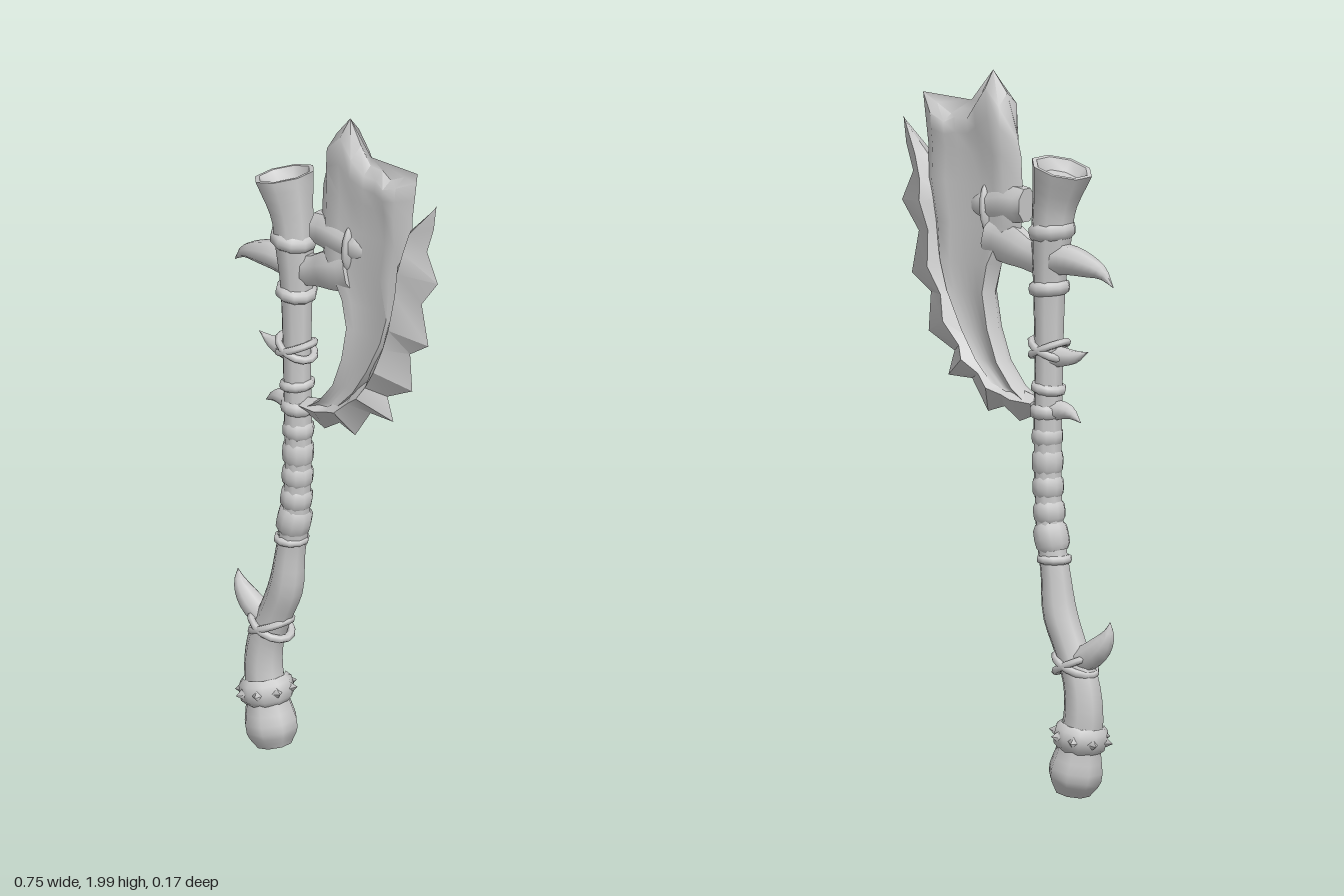
import * as THREE from 'three';
import { mergeVertices, toCreasedNormals } from 'three/addons/utils/BufferGeometryUtils.js';

const material = new THREE.MeshStandardMaterial({ color: 0xcccccc });
const V = (x, y, z = 0) => new THREE.Vector3(x, y, z);

// Skin a series of closed rings and cap both ends
function loft(rings, crease = 0.9) {
  const n = rings[0].length, pos = [], index = [];
  rings.forEach(r => r.forEach(p => pos.push(p.x, p.y, p.z)));
  for (let i = 0; i < rings.length - 1; i++) {
    for (let j = 0; j < n; j++) {
      const k = (j + 1) % n, a = i * n + j, b = a + n, c = (i + 1) * n + k, d = i * n + k;
      index.push(a, b, c, a, c, d);
    }
  }
  [0, rings.length - 1].forEach((i, end) => {
    const mid = V(0, 0);
    rings[i].forEach(p => mid.addScaledVector(p, 1 / n));
    const m = pos.length / 3;
    pos.push(mid.x, mid.y, mid.z);
    for (let j = 0; j < n; j++) {
      const a = i * n + j, b = i * n + (j + 1) % n;
      if (end) index.push(m, b, a); else index.push(m, a, b);
    }
  });
  const geo = new THREE.BufferGeometry();
  geo.setAttribute('position', new THREE.Float32BufferAttribute(pos, 3));
  geo.setIndex(index);
  return toCreasedNormals(mergeVertices(geo, 1e-4), crease);
}

// Round tube along points [x, y, radius]; dish hollows out both ends
function tube(points, steps, { sides = 8, flat = 1, dish = 0 } = {}) {
  const pts = new THREE.CatmullRomCurve3(points.map(p => V(...p)), false, 'centripetal').getPoints(steps);
  const ringAt = (i, scale, push) => {
    const a = pts[Math.max(i - 1, 0)], b = pts[Math.min(i + 1, steps)];
    const t = V(b.x - a.x, b.y - a.y).normalize(), r = Math.max(pts[i].z, 0.001) * scale;
    return Array.from({ length: sides }, (_, j) => {
      const w = (j + 0.5) / sides * Math.PI * 2, c = Math.cos(w) * r;
      return V(pts[i].x + t.y * c + t.x * push, pts[i].y - t.x * c + t.y * push, Math.sin(w) * r * flat);
    });
  };
  const rings = pts.map((_, i) => ringAt(i, 1, 0));
  if (dish) {
    rings.unshift(ringAt(0, 0.4, dish), ringAt(0, 0.55, 0));
    rings.push(ringAt(steps, 0.85, 0), ringAt(steps, 0.6, -dish));
  }
  return loft(rings);
}

export function createModel() {
  const group = new THREE.Group();
  const add = (name, geo, x = 0, y = 0, tilt = 0) => {
    const mesh = new THREE.Mesh(geo, material);
    mesh.name = name;
    mesh.position.set(x, y, 0);
    mesh.rotation.z = tilt;
    group.add(mesh);
    return mesh;
  };

  // Crooked handle with flared top and swollen pommel
  add('handle', tube([
    [-0.232, 0.015, 0.05], [-0.242, 0.065, 0.077], [-0.258, 0.15, 0.062], [-0.272, 0.24, 0.057],
    [-0.262, 0.33, 0.052], [-0.225, 0.42, 0.048], [-0.188, 0.51, 0.05], [-0.172, 0.62, 0.043],
    [-0.155, 0.72, 0.041], [-0.145, 0.87, 0.039], [-0.145, 1.05, 0.041], [-0.148, 1.2, 0.041],
    [-0.15, 1.42, 0.047], [-0.158, 1.56, 0.058], [-0.168, 1.65, 0.064], [-0.195, 1.755, 0.088]
  ], 48, { dish: 0.03 }));

  // Wrapped bands: x, y, radius, height, tilt
  [
    [-0.16, 1.575, 0.067, 0.05, -0.15], [-0.15, 1.415, 0.059, 0.04, -0.1],
    [-0.147, 1.135, 0.05, 0.03, 0.15], [-0.143, 1.07, 0.05, 0.04, 0],
    [-0.143, 1.0, 0.045, 0.05, 0], [-0.144, 0.93, 0.045, 0.07, 0],
    [-0.146, 0.86, 0.045, 0.06, 0], [-0.15, 0.79, 0.046, 0.06, -0.1],
    [-0.158, 0.72, 0.05, 0.08, -0.25], [-0.168, 0.66, 0.05, 0.025, 0],
    [-0.262, 0.175, 0.077, 0.075, 0.2]
  ].forEach(([x, y, r, h, tilt]) => {
    const profile = [[0.78, -0.5], [0.97, -0.3], [1, 0], [0.97, 0.3], [0.78, 0.5]];
    add('band', new THREE.LatheGeometry(profile.map(([a, b]) => new THREE.Vector2(a * r, b * h)), 10), x, y, tilt);
  });

  // Studs around the pommel band
  const studs = new THREE.Group();
  studs.name = 'pommelStuds';
  studs.position.set(-0.262, 0.175, 0);
  studs.rotation.z = 0.2;
  for (let i = 0; i < 8; i++) {
    const geo = new THREE.ConeGeometry(0.022, 0.03, 4).rotateX(Math.PI / 2).translate(0, 0, 0.078);
    const stud = new THREE.Mesh(geo.rotateY((i + 0.5) * Math.PI / 4), material);
    stud.name = 'stud';
    studs.add(stud);
  }
  group.add(studs);

  // Crossed lashings
  [[-0.15, 1.245, 0.048], [-0.243, 0.375, 0.054]].forEach(([x, y, r]) => {
    for (const s of [-1, 1]) {
      const cord = new THREE.TorusGeometry(r, 0.011, 6, 14).rotateX(Math.PI / 2).scale(1.15, 1, 1);
      add('lashing', cord, x, y, s * 0.42);
    }
  });

  // Curved horns on the back of the handle
  add('largeHorn', tube([[-0.16, 1.495, 0.045], [-0.22, 1.5, 0.043], [-0.29, 1.49, 0.032], [-0.34, 1.475, 0.018], [-0.378, 1.44, 0]], 10));
  add('smallHorn', tube([[-0.17, 1.225, 0.032], [-0.235, 1.23, 0.02], [-0.288, 1.25, 0]], 6));
  add('smallHorn', tube([[-0.16, 1.075, 0.032], [-0.22, 1.075, 0.02], [-0.262, 1.05, 0]], 6));
  add('lowerHorn', tube([[-0.23, 0.375, 0.035], [-0.29, 0.4, 0.038], [-0.335, 0.435, 0.032], [-0.36, 0.47, 0.018], [-0.367, 0.505, 0]], 10));

  // Arm joining blade and handle
  add('bladeArm', tube([[-0.15, 1.485, 0.05], [-0.08, 1.5, 0.047], [-0.02, 1.52, 0.06], [0.06, 1.54, 0.06]], 8, { flat: 0.65 }));

  // Blade plate: jagged crown, then left and right ends of each row
  const crown = [[-0.03, 1.85], [0, 1.94], [0.05, 2], [0.09, 1.93], [0.125, 1.88], [0.17, 1.88], [0.2, 1.86], [0.25, 1.885], [0.3, 1.91]];
  const rows = [
    [-0.05, 1.77, 0.28, 1.76], [-0.055, 1.675, 0.285, 1.675], [-0.05, 1.57, 0.26, 1.56],
    [0.02, 1.46, 0.24, 1.45], [0.043, 1.38, 0.21, 1.37], [0.03, 1.28, 0.155, 1.27],
    [0, 1.19, 0.1, 1.19], [-0.05, 1.125, 0.03, 1.12], [-0.1, 1.09, -0.04, 1.08]
  ].map(([x0, y0, x1, y1]) => crown.map((_, j) => V(x0, y0).lerp(V(x1, y1), j / 8)));
  const top = crown.map(p => V(...p));
  const between = f => top.map((p, j) => p.clone().lerp(rows[0][j], f));
  const plate = [top, between(0.2), between(0.55), ...rows].map((row, i) => {
    const front = row.map((p, j) => {
      const u = Math.abs(j / 4 - 1);
      let z = 0.02 + 0.022 * u * u;
      if (i === 1 || i === 2) z = j < 4 ? 0.039 : j < 6 ? 0.026 : 0.033;
      return V(p.x, p.y, i === 0 || j === 0 || j === 8 ? 0 : z);
    });
    return [...front, ...front.slice(1, 8).reverse().map(p => V(p.x, p.y, -p.z))];
  });
  add('bladePlate', loft(plate, 1.1));

  // Toothed cutting edge: ridge x, y, edge x, y, half thickness
  const edge = [
    [0.365, 1.825, 0.37, 1.835, 0.002], [0.3, 1.74, 0.36, 1.76, 0.035], [0.28, 1.675, 0.335, 1.685, 0.04],
    [0.27, 1.615, 0.375, 1.6, 0.053], [0.25, 1.535, 0.315, 1.52, 0.04], [0.24, 1.435, 0.34, 1.4, 0.055],
    [0.205, 1.36, 0.272, 1.355, 0.04], [0.185, 1.29, 0.28, 1.245, 0.055], [0.14, 1.225, 0.188, 1.2, 0.04],
    [0.12, 1.19, 0.21, 1.13, 0.055], [0.072, 1.155, 0.125, 1.13, 0.04], [0.035, 1.12, 0.068, 1.045, 0.052],
    [-0.01, 1.105, 0.01, 1.065, 0.04], [-0.045, 1.095, -0.045, 1.03, 0.045], [-0.11, 1.09, -0.105, 1.055, 0.035]
  ];
  add('toothedEdge', loft(edge.map(([x, y, ex, ey, z]) =>
    [V(x - (ex - x) * 0.4, y - (ey - y) * 0.4), V(x, y, z), V(ex, ey), V(x, y, -z)]), 0.5));

  // Peg through the blade with its ring
  add('peg', tube([[-0.07, 1.635, 0.05], [-0.01, 1.635, 0.056], [0.045, 1.625, 0.05], [0.09, 1.62, 0.042], [0.13, 1.615, 0.015]], 10, { flat: 0.75 }));
  add('pegRing', new THREE.SphereGeometry(1, 10, 8).scale(0.018, 0.078, 0.044), 0.06, 1.615, -0.05);

  return group;
}
